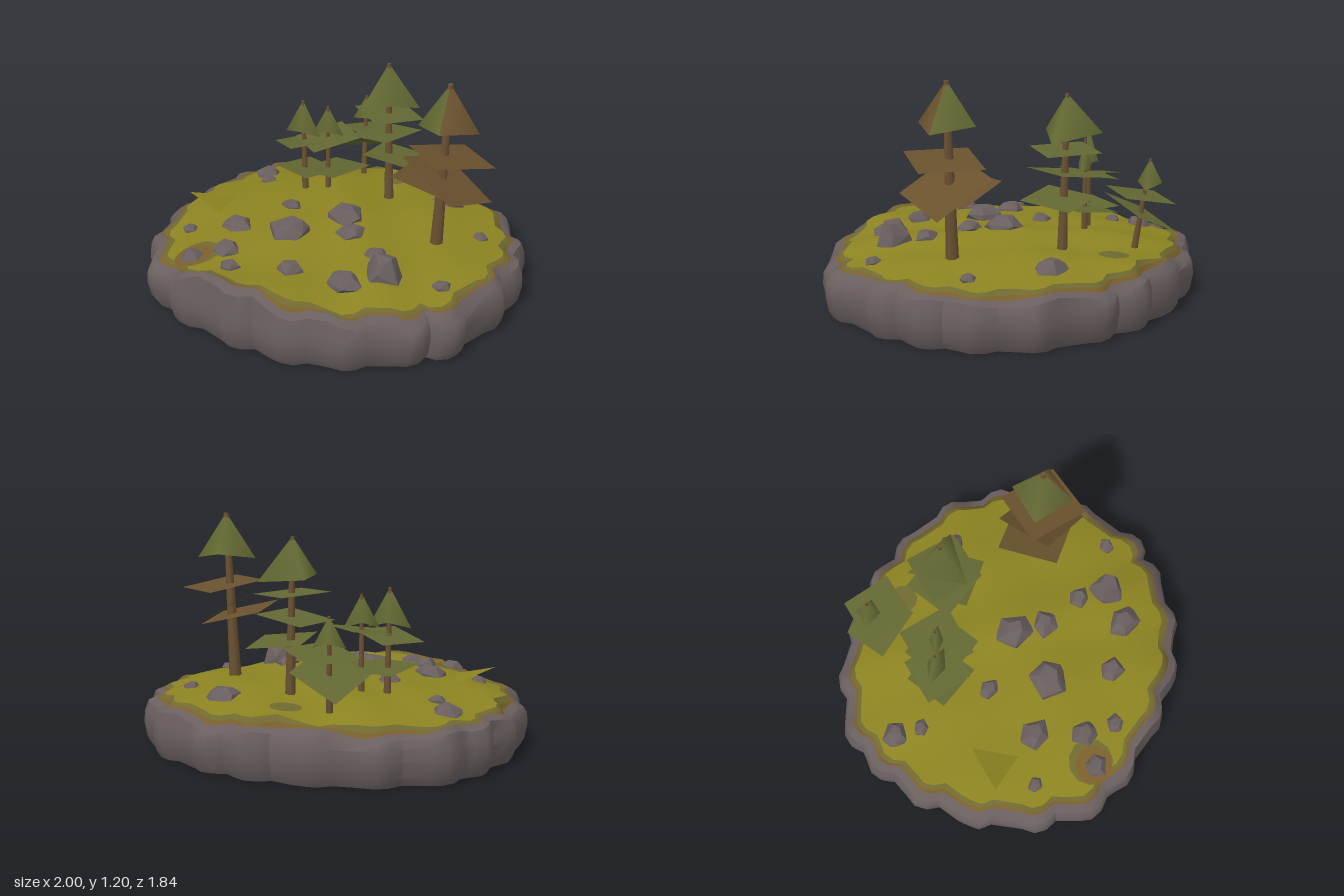
import * as THREE from 'three';
import { toCreasedNormals } from 'three/addons/utils/BufferGeometryUtils.js';
import { ConvexGeometry } from 'three/addons/geometries/ConvexGeometry.js';

function makeRandom(seed) {
  return () => {
    seed = (seed * 16807) % 2147483647;
    return seed / 2147483647;
  };
}

// Island outline: an oval of uneven rock lumps, fuller at the corners and on the left
const LUMPS = 20;
const OUTLINE = [];
const lumpRandom = makeRandom(4321);
for (let k = 0; k < LUMPS; k++) {
  const start = k + .3 * lumpRandom(), size = .985 + .035 * lumpRandom();
  [.965, 1.005, 1.015, .99].forEach((bulge, i) => {
    const a = ((start + i * .21) / LUMPS) * Math.PI * 2;
    const corner = Math.sin(2 * a) ** 2 * (Math.cos(a) < 0 ? .065 : .03);
    const r = bulge * size + corner;
    OUTLINE.push([THREE.MathUtils.clamp(Math.cos(a) * .99 * r, -1, 1),
      THREE.MathUtils.clamp(Math.sin(a) * .91 * r, -.92, .92)]);
  });
}

// The front rim is raised
const frontRise = (x, z) => .1 * Math.exp(-(((x + .12) / .36) ** 2 + ((z - .87) / .2) ** 2));
const groundY = (x, z) => .355 - .09 * (x * x + z * z) / .86
  + .011 * Math.sin(8 * x + 1) * Math.cos(7 * z) + .008 * Math.sin(13 * x - 9 * z) + frontRise(x, z) * .6;
const rimY = (x, z) => .25 + frontRise(x, z) + .018 * Math.sin(9 * x + 5 * z) + .012 * Math.sin(17 * x - 13 * z);
const fringeY = (x, z) => (rimY(x, z) + groundY(x, z)) / 2;
const flat = y => () => y;

function bufferFrom(points, index) {
  const g = new THREE.BufferGeometry();
  g.setAttribute('position', new THREE.Float32BufferAttribute(points, 3));
  g.setIndex(index);
  g.computeVertexNormals();
  return g;
}

// Skin between scaled copies of the outline; each ring is [scale, height(x, z)]
function ringSkin(rings) {
  const n = OUTLINE.length, pts = [], index = [];
  rings.forEach(([s, height], r) => OUTLINE.forEach(([ox, oz], i) => {
    const x = ox * s, z = oz * s;
    pts.push(x, height(x, z), z);
    if (r === 0) return;
    const j = (i + 1) % n, a = (r - 1) * n + i, b = (r - 1) * n + j, c = r * n + i, d = r * n + j;
    index.push(a, c, b, b, c, d);
  }));
  return bufferFrom(pts, index);
}

export function createModel() {
  const root = new THREE.Group();
  root.name = 'forestIsland';
  const mat = (name, color, side = THREE.FrontSide) => {
    const m = new THREE.MeshStandardMaterial({ color, side });
    m.name = name;
    return m;
  };
  const rock = mat('greyRock', 0x695f5e);
  const grass = mat('oliveGrass', 0x8c8321, THREE.DoubleSide);
  const moss = mat('mossEdge', 0x6f6a30);
  const dirt = mat('dirtEdge', 0x7a5f2a);
  const bark = mat('bark', 0x6b5232);
  const leaf = mat('greenNeedles', 0x626732, THREE.DoubleSide);
  const dry = mat('brownNeedles', 0x69512e, THREE.DoubleSide);
  const add = (name, geometry, material, parent = root) => {
    const m = new THREE.Mesh(geometry, material);
    m.name = name;
    parent.add(m);
    return m;
  };

  // Rock base with its underside and bulging wall
  add('rockBase', toCreasedNormals(ringSkin([
    [.001, flat(.02)], [.96, flat(0)], [.985, flat(.04)], [1, flat(.12)], [.995, flat(.18)],
    [.975, (x, z) => rimY(x, z) - .025], [.93, rimY],
  ]), .7), rock);

  // Dirt and moss fringe, then the grass top
  add('dirtFringe', ringSkin([[.93, rimY], [.915, fringeY]]), dirt);
  add('mossFringe', ringSkin([[.915, fringeY], [.89, groundY]]), moss);
  const grassRings = Array.from({ length: 9 }, (_, i) => [.89 * (1 - i / 8) + .001, groundY]);
  add('grassTop', ringSkin(grassRings), grass);
  add('grassFlap', bufferFrom([-.82, .4, .2, -.64, .335, 0, -.6, .345, .25], [0, 2, 1]), grass);

  // Bare patches draped on the ground
  function patch(name, x, z, r, material, lift) {
    const g = new THREE.CircleGeometry(r, 11).rotateX(-Math.PI / 2).translate(x, 0, z);
    const p = g.attributes.position;
    for (let i = 0; i < p.count; i++) p.setY(i, groundY(p.getX(i), p.getZ(i)) + lift);
    g.computeVertexNormals();
    add(name, g, material);
  }
  patch('mossPatch', -.49, .62, .12, moss, .005);
  patch('dirtPatch', -.5, .64, .1, dirt, .008);
  patch('mossPatch', .04, -.66, .08, moss, .005);

  // Loose stones: x, z, radius
  const rnd = makeRandom(77);
  const stones = [
    [.05, 0, .11], [-.3, -.02, .06], [-.69, -.42, .08], [.42, -.52, .09], [.36, .27, .07], [.47, .4, .11],
    [-.45, .29, .09], [-.15, .26, .12], [-.36, .54, .08], [.03, .57, .08], [.32, .55, .1], [-.5, .65, .08],
    [-.25, .68, .06], [.72, -.25, .05], [.74, .31, .05], [-.62, -.3, .05], [.15, .14, .08], [-.7, .38, .05],
  ];
  stones.forEach(([x, z, r]) => {
    const pts = [];
    const turn = rnd() * 6, tall = r > .1 && x > .4 ? 1.1 : .62;
    for (let k = 0; k < 15; k++) {
      const level = Math.floor(k / 5);
      const a = turn + k * Math.PI * .4 + rnd() * .5;
      const q = r * (1 - .12 * level * level) * (.8 + .4 * rnd());
      const y = r * tall * (level * .5 - .2) * (.85 + .3 * rnd());
      pts.push(new THREE.Vector3(Math.cos(a) * q, y, Math.sin(a) * q * .85));
    }
    add('stone', new ConvexGeometry(pts), rock).position.set(x, groundY(x, z), z);
  });

  // Tapered trunk between two points
  function trunk(parent, a, b, r) {
    const d = b.clone().sub(a);
    const m = add('trunk', new THREE.CylinderGeometry(r * .4, r, d.length(), 7), bark, parent);
    m.position.copy(a).add(b).multiplyScalar(.5);
    m.quaternion.setFromUnitVectors(new THREE.Vector3(0, 1, 0), d.normalize());
  }

  // Open, softly shaded pyramid crown, flattened by depth and turned by yaw; the first face may differ
  function crown(parent, tip, { sides, crownR, depth, drop, yaw, firstFace }) {
    const pts = tip.toArray(), index = [];
    for (let i = 0; i < sides; i++) {
      const a = i * Math.PI * 2 / sides;
      const p = new THREE.Vector3(Math.sin(a) * crownR, -drop - .03 * (i % 2), Math.cos(a) * crownR * depth);
      pts.push(...p.applyAxisAngle(new THREE.Vector3(0, 1, 0), yaw).add(tip).toArray());
      index.push(0, i + 1, (i + 1) % sides + 1);
    }
    const g = bufferFrom(pts, index);
    g.addGroup(0, 3, 0);
    g.addGroup(3, index.length - 3, 1);
    add('crown', g, [firstFace, leaf], parent);
  }

  // Square branch sheet around the trunk, sloped along x and z
  function sheet(parent, at, r, yaw, slopeX, slopeZ, material) {
    const pts = [];
    for (let i = 0; i < 4; i++) {
      const a = yaw + i * Math.PI / 2, dx = Math.sin(a) * r, dz = Math.cos(a) * r;
      pts.push(at.x + dx, at.y + dx * slopeX + dz * slopeZ, at.z + dz);
    }
    add('branchSheet', bufferFrom(pts, [0, 1, 2, 0, 2, 3]), material, parent);
  }

  // Trees; each tier is [height, slope along x, slope along z, shift along x]
  const trees = [
    { name: 'tallBrownTree', base: [.555, -.04], tip: [.595, 1.2, -.045], r: .034, sides: 4, crownR: .16,
      depth: 1, drop: .21, yaw: .1, firstFace: dry, sheetR: .23, tierMaterial: dry,
      tiers: [[.82, -.1, .12, .04], [.69, -.56, .08, .03], [.67, -.23, .1, -.05]] },
    { name: 'greenTree', base: [.11, -.4], tip: [.09, 1.11, -.41], r: .027, sides: 3, crownR: .18,
      depth: 1, drop: .2, yaw: -.4, firstFace: leaf, sheetR: .2, tierMaterial: leaf,
      tiers: [[.83, -.05, .02, 0], [.71, .13, .06, -.02], [.59, -.1, .1, .05]] },
    { name: 'smallLeftTree', base: [-.36, -.28], tip: [-.37, .86, -.28], r: .02, sides: 4, crownR: .11,
      depth: .45, drop: .17, yaw: 0, firstFace: leaf, sheetR: .18, tierMaterial: leaf,
      tiers: [[.62, .16, .1, 0], [.46, -.03, .1, .02]] },
    { name: 'smallMiddleTree', base: [-.24, -.33], tip: [-.24, .83, -.33], r: .018, sides: 4, crownR: .09,
      depth: .4, drop: .14, yaw: .3, firstFace: leaf, sheetR: .2, tierMaterial: leaf,
      tiers: [[.65, .12, -.1, 0], [.47, .13, .08, .04]] },
    { name: 'leaningBackTree', base: [-.18, -.66], tip: [-.2, .77, -.73], r: .018, sides: 4, crownR: .08,
      depth: .8, drop: .12, yaw: .2, firstFace: leaf, sheetR: .19, tierMaterial: leaf,
      tiers: [[.59, .1, .15, .04], [.49, .3, .45, 0]] },
  ];

  trees.forEach(t => {
    const g = new THREE.Group();
    g.name = t.name;
    root.add(g);
    const foot = new THREE.Vector3(t.base[0], .3, t.base[1]);
    const tip = new THREE.Vector3(...t.tip);
    trunk(g, foot, tip, t.r);
    crown(g, tip, t);
    t.tiers.forEach(([y, slopeX, slopeZ, shift], i) => {
      const at = foot.clone().lerp(tip, (y - foot.y) / (tip.y - foot.y));
      at.x += shift;
      sheet(g, at, t.sheetR, .1 + i * .35, slopeX, slopeZ, t.tierMaterial);
    });
  });

  return root;
}
